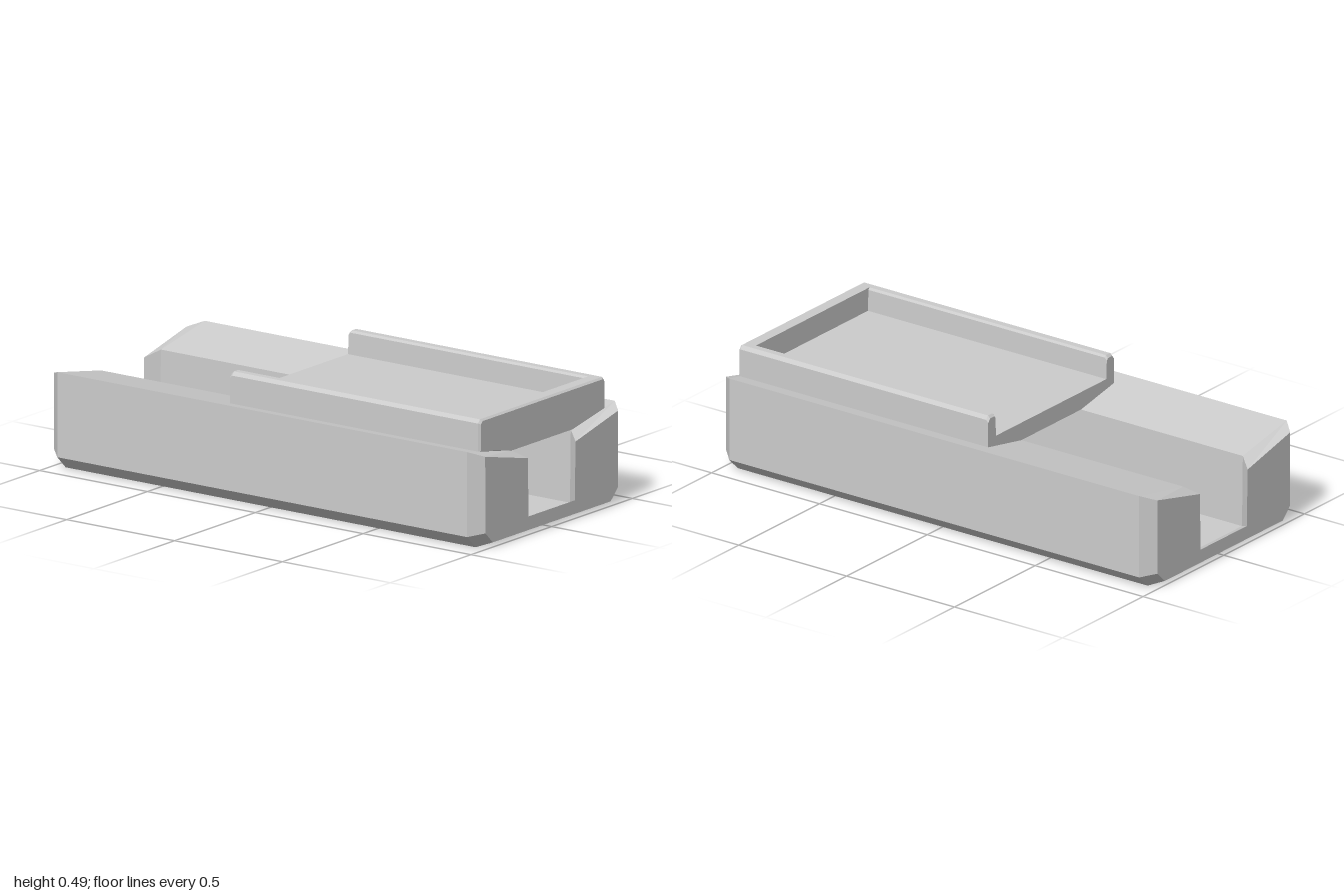
import * as THREE from 'three';

const material = new THREE.MeshStandardMaterial({ color: 0xcccccc, flatShading: true });

// Mirrors a right-hand half outline (bottom to top) into a closed outline.
const mirror = (half) => [...half, ...half.map(([x, y]) => [-x, y]).reverse()];

// Lofts sections { z, half }, ordered from back to front, into a closed solid.
function loft(name, sections) {
  const rings = sections.map(({ z, half }) => mirror(half).map(([x, y]) => [x, y, z]));
  const positions = [];
  const triangle = (a, b, c) => positions.push(...a, ...b, ...c);
  for (let s = 0; s < rings.length - 1; s++) {
    const a = rings[s], b = rings[s + 1];
    for (let i = 0; i < a.length; i++) {
      const j = (i + 1) % a.length;
      triangle(a[i], a[j], b[j]);
      triangle(a[i], b[j], b[i]);
    }
  }
  const cap = (ring, front) => {
    const outline = ring.map(([x, y]) => new THREE.Vector2(x, y));
    for (const [i, j, k] of THREE.ShapeUtils.triangulateShape(outline, [])) {
      if (front) triangle(ring[i], ring[j], ring[k]);
      else triangle(ring[i], ring[k], ring[j]);
    }
  };
  cap(rings[0], false);
  cap(rings[rings.length - 1], true);

  const geometry = new THREE.BufferGeometry();
  geometry.setAttribute('position', new THREE.Float32BufferAttribute(positions, 3));
  geometry.computeVertexNormals();
  const mesh = new THREE.Mesh(geometry, material);
  mesh.name = name;
  return mesh;
}

export function createModel() {
  const model = new THREE.Group();
  model.name = 'slidingTrayBlock';

  // Channelled base, chamfered at both ends
  const body = [[0.405, 0], [0.457, 0.05], [0.457, 0.377], [0.185, 0.325], [0.18, 0.045]];
  const end = [[0.365, 0.018], [0.41, 0.062], [0.412, 0.357], [0.148, 0.295], [0.143, 0.07]];
  model.add(loft('base', [
    { z: -1, half: end },
    { z: -0.95, half: body },
    { z: 0.95, half: body },
    { z: 1, half: end },
  ]));

  // Tray resting on the sloped base top: floor with two side lips, open at the back
  const tray = new THREE.Group();
  tray.name = 'tray';
  const lipped = (top) => [
    [0.185, 0.325], [0.39, 0.364], [0.39, top - 0.014], [0.378, top],
    [0.352, top], [0.345, top - 0.008], [0.342, 0.395],
  ];
  tray.add(loft('trayFloorAndLips', [
    { z: -0.2, half: lipped(0.476) },
    { z: -0.19, half: lipped(0.486) },
    { z: 0.905, half: lipped(0.486) },
  ]));

  // Closed front wall of the tray
  const wall = [[0.185, 0.325], [0.39, 0.364], [0.39, 0.472], [0.378, 0.486]];
  const wallFace = [[0.185, 0.327], [0.383, 0.366], [0.383, 0.468], [0.372, 0.479]];
  tray.add(loft('trayFrontWall', [
    { z: 0.905, half: wall },
    { z: 0.95, half: wall },
    { z: 0.958, half: wallFace },
  ]));
  model.add(tray);

  return model;
}
